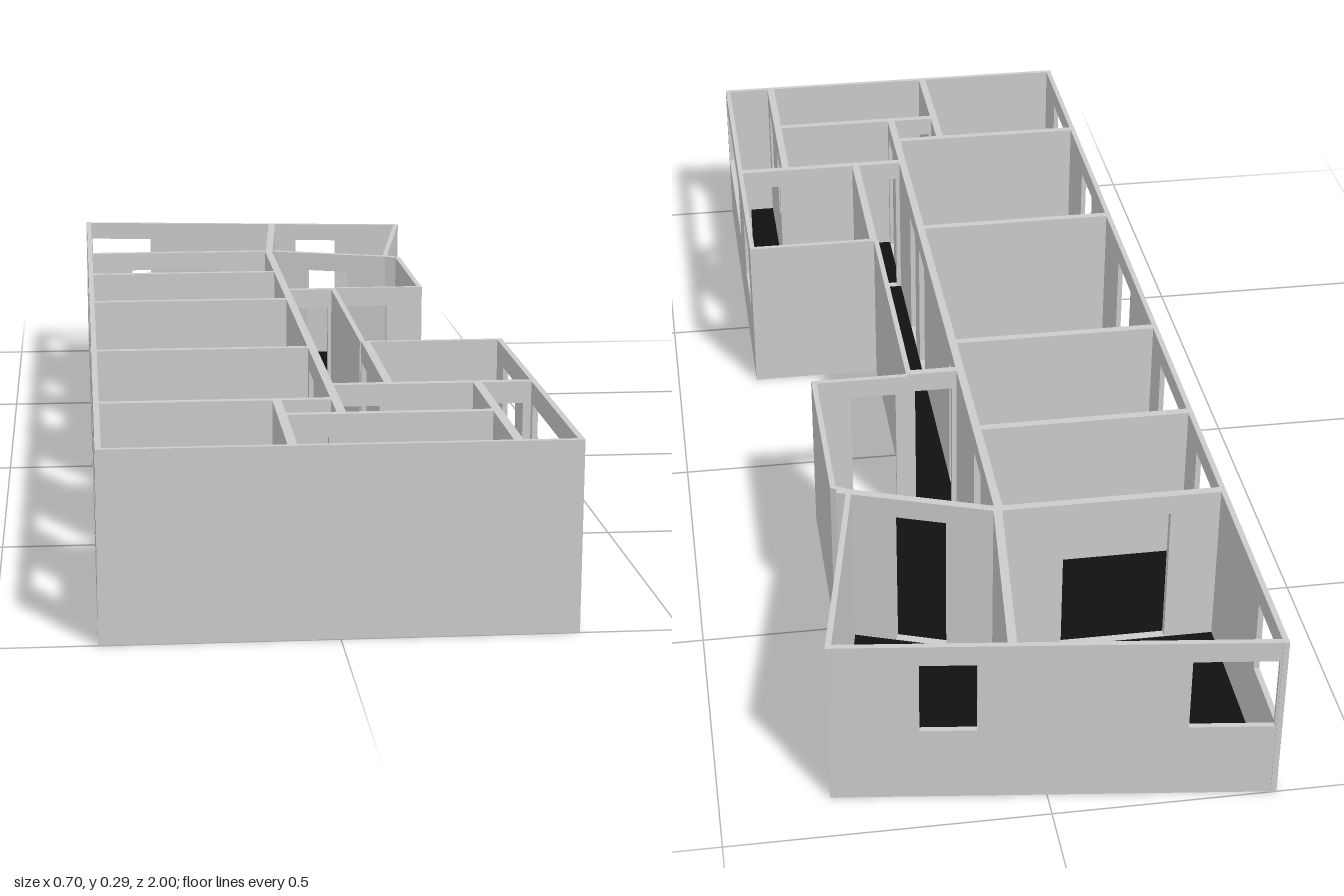
import * as THREE from 'three';

const HEIGHT = 0.29, FLOOR = 0.005;
const OUTER = 0.009, INNER = 0.014;
const WINDOW = [0.13, 0.255], DOOR = [FLOOR + 0.001, 0.255];
const grey = new THREE.MeshStandardMaterial({ color: 0xcccccc });
const black = new THREE.MeshStandardMaterial({ color: 0x111111 });

// Wall from p to q (x, z). Openings are [from, to, heights], with from and to
// read along the wall's main axis. Thickness grows to the right of p -> q.
function makeWall(name, p, q, thickness, openings = [], centred = false) {
  const dx = q[0] - p[0], dz = q[1] - p[1];
  const length = Math.hypot(dx, dz);
  const axis = Math.abs(dx) > Math.abs(dz) ? 0 : 1;
  const along = (c) => ((c - p[axis]) / (q[axis] - p[axis])) * length;

  const shape = new THREE.Shape();
  shape.moveTo(0, 0).lineTo(length, 0).lineTo(length, HEIGHT).lineTo(0, HEIGHT).closePath();
  for (const [from, to, [low, high]] of openings) {
    const a = Math.min(along(from), along(to)), b = Math.max(along(from), along(to));
    const hole = new THREE.Path();
    hole.moveTo(a, low).lineTo(a, high).lineTo(b, high).lineTo(b, low).closePath();
    shape.holes.push(hole);
  }
  const geometry = new THREE.ExtrudeGeometry(shape, { depth: thickness, bevelEnabled: false });
  if (centred) geometry.translate(0, 0, -thickness / 2);
  const mesh = new THREE.Mesh(geometry, grey);
  mesh.name = name;
  mesh.position.set(p[0], 0, p[1]);
  mesh.rotation.y = Math.atan2(-dz, dx);
  return mesh;
}

// Footprint corners (x, z), clockwise seen from above
const OUTLINE = [
  [-0.35, -1], [0.33, -0.915], [0.256, -0.52], [0.28, -0.505], [0.28, -0.18],
  [0.115, -0.18], [0.115, 0.3], [0.35, 0.3], [0.35, 1], [-0.35, 1],
];

// Openings of each outer wall, by index of its first corner
const OUTER_OPENINGS = {
  0: [[-0.338, -0.21, WINDOW], [0.107, 0.193, WINDOW]],
  4: [[0.135, 0.213, DOOR]],
  7: [[0.37, 0.49, WINDOW], [0.64, 0.988, WINDOW]],
  9: [
    [-0.985, -0.86, WINDOW], [-0.54, -0.44, WINDOW], [-0.31, -0.16, WINDOW],
    [0.1, 0.21, DOOR], [0.476, 0.58, DOOR], [0.78, 0.895, WINDOW],
  ],
};

// Partitions: start, end, openings
const PARTITIONS = [
  // spine beside the corridor
  [[0.02, -0.6], [0.02, 0.815], [
    [-0.455, -0.385, DOOR], [-0.155, -0.085 - 0.01, DOOR], [0.24, 0.315, DOOR],
    [0.37, 0.445, DOOR], [0.73, 0.79, DOOR],
  ]],
  // cross walls of the long row of rooms
  [[-0.345, -0.6], [0.027, -0.6], [[-0.26, -0.085, DOOR]]],
  [[-0.345, -0.365], [0.02, -0.365], []],
  [[-0.345, -0.085], [0.02, -0.085], []],
  [[-0.345, 0.34], [0.02, 0.34], []],
  [[-0.345, 0.715], [0.02, 0.715], []],
  // angled rooms at the back
  [[0.055, -0.945], [0.022, -0.6], []],
  [[0.02, -0.602], [0.27, -0.513], [[0.1, 0.18, DOOR]]],
  // corridor ends and side
  [[0.02, -0.176], [0.115, -0.176], [[0.035, 0.1, DOOR]]],
  [[0.115, 0.3], [0.115, 0.62], [[0.312, 0.385, DOOR]]],
  // small rooms at the front
  [[0.02, 0.62], [0.345, 0.62], [[0.035, 0.1, DOOR], [0.268, 0.328, DOOR]]],
  [[-0.07, 0.715], [-0.07, 0.995], []],
  [[-0.077, 0.81], [0.255, 0.81], [[-0.058, 0, DOOR]]],
  [[0.255, 0.62], [0.255, 0.995], [[0.695, 0.76, WINDOW], [0.875, 0.95, WINDOW]]],
];

export function createModel() {
  const model = new THREE.Group();
  model.name = 'floorPlanBuilding';

  // Base slab with a dark floor on top; shapes use y = -z before being laid flat
  const footprint = new THREE.Shape(OUTLINE.map(([x, z]) => new THREE.Vector2(x, -z)));
  const slab = new THREE.Mesh(
    new THREE.ExtrudeGeometry(footprint, { depth: FLOOR - 0.001, bevelEnabled: false }), grey);
  slab.name = 'baseSlab';
  slab.rotation.x = -Math.PI / 2;
  const floor = new THREE.Mesh(new THREE.ShapeGeometry(footprint), black);
  floor.name = 'floor';
  floor.rotation.x = -Math.PI / 2;
  floor.position.y = FLOOR;
  model.add(slab, floor);

  // Outer walls, thickness growing inward
  const outerWalls = new THREE.Group();
  outerWalls.name = 'outerWalls';
  OUTLINE.forEach((p, i) => {
    const q = OUTLINE[(i + 1) % OUTLINE.length];
    outerWalls.add(makeWall('outerWall', p, q, OUTER, OUTER_OPENINGS[i]));
  });

  // Inner walls, centred on their lines
  const innerWalls = new THREE.Group();
  innerWalls.name = 'innerWalls';
  for (const [p, q, openings] of PARTITIONS) {
    innerWalls.add(makeWall('partition', p, q, INNER, openings, true));
  }

  model.add(outerWalls, innerWalls);
  return model;
}
